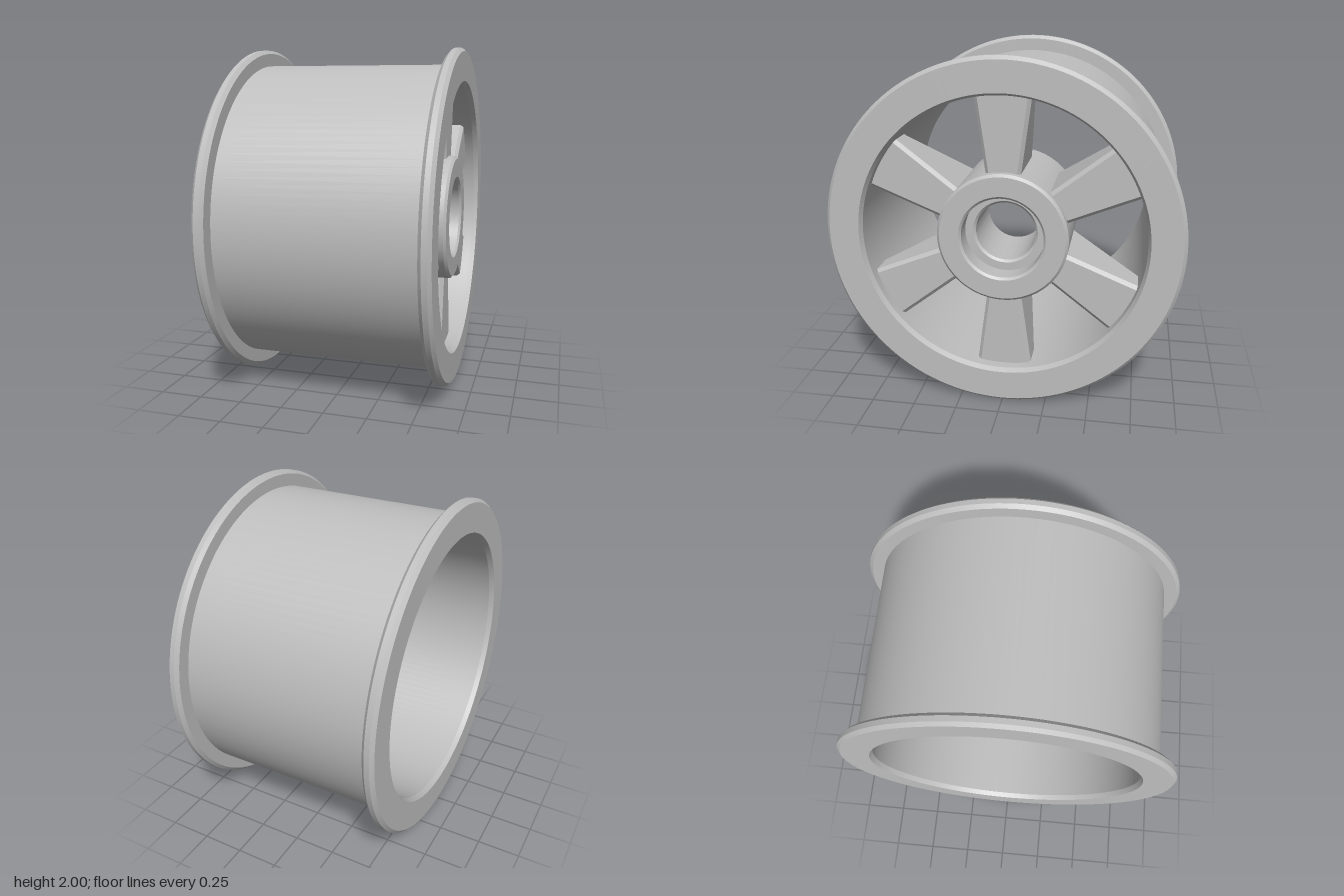
import * as THREE from 'three';
import { toCreasedNormals } from 'three/addons/utils/BufferGeometryUtils.js';

const metal = new THREE.MeshStandardMaterial({ color: 0xbebebe });
metal.name = 'grey metal';

// Closed ring turned around the x axis; the profile is [radius, x], outside running towards +x
function turned(name, profile) {
  const points = [...profile, profile[0]].map(([r, x]) => new THREE.Vector2(r, x));
  const geometry = new THREE.LatheGeometry(points, 128);
  geometry.rotateZ(-Math.PI / 2);
  const mesh = new THREE.Mesh(toCreasedNormals(geometry, 0.3), metal);
  mesh.name = name;
  return mesh;
}

// Half of a profile that is the same on both ends, mirrored about x = mid
function mirrored(outer, inner, mid) {
  const flip = (list) => list.map(([r, x]) => [r, 2 * mid - x]).reverse();
  return [...flip(outer), ...outer, ...inner, ...flip(inner)];
}

// Tapered spoke with bevelled front edges, deep at the hub and thin at the rim
function spokeGeometry() {
  const section = (y, w, back) => [
    [0.55, y, w - 0.02], [0.55, y, -w + 0.02], [0.53, y, -w],
    [back, y, -w], [back, y, w], [0.53, y, w],
  ];
  const a = section(0.34, 0.096, 0.12);
  const b = section(0.82, 0.162, 0.42);
  const positions = [];
  for (let i = 0; i < 6; i++) {
    const j = (i + 1) % 6;
    positions.push(...a[i], ...a[j], ...b[j], ...a[i], ...b[j], ...b[i]);
  }
  const geometry = new THREE.BufferGeometry();
  geometry.setAttribute('position', new THREE.Float32BufferAttribute(positions, 3));
  geometry.computeVertexNormals();
  return geometry;
}

export function createModel() {
  const wheel = new THREE.Group();
  wheel.name = 'wheel';

  // Barrel with a bevelled flange at each end
  wheel.add(turned('rim', mirrored(
    [[0.905, 0.565], [0.98, 0.565], [1, 0.585], [1, 0.615], [0.98, 0.635]],
    [[0.81, 0.635], [0.795, 0.605]],
    0,
  )));

  // Hub with a stepped bore
  wheel.add(turned('hub', mirrored(
    [[0.37, 0.585], [0.355, 0.6]],
    [[0.245, 0.6], [0.232, 0.587], [0.232, 0.48], [0.185, 0.48], [0.172, 0.467]],
    0.28,
  )));

  // Six spokes
  const spokes = new THREE.Group();
  spokes.name = 'spokes';
  const geometry = spokeGeometry();
  for (let i = 0; i < 6; i++) {
    const spoke = new THREE.Mesh(geometry, metal);
    spoke.name = 'spoke';
    spoke.rotation.x = (i * Math.PI) / 3;
    spokes.add(spoke);
  }
  wheel.add(spokes);

  wheel.position.y = 1;
  const model = new THREE.Group();
  model.name = 'spokedWheelRim';
  model.add(wheel);
  return model;
}
